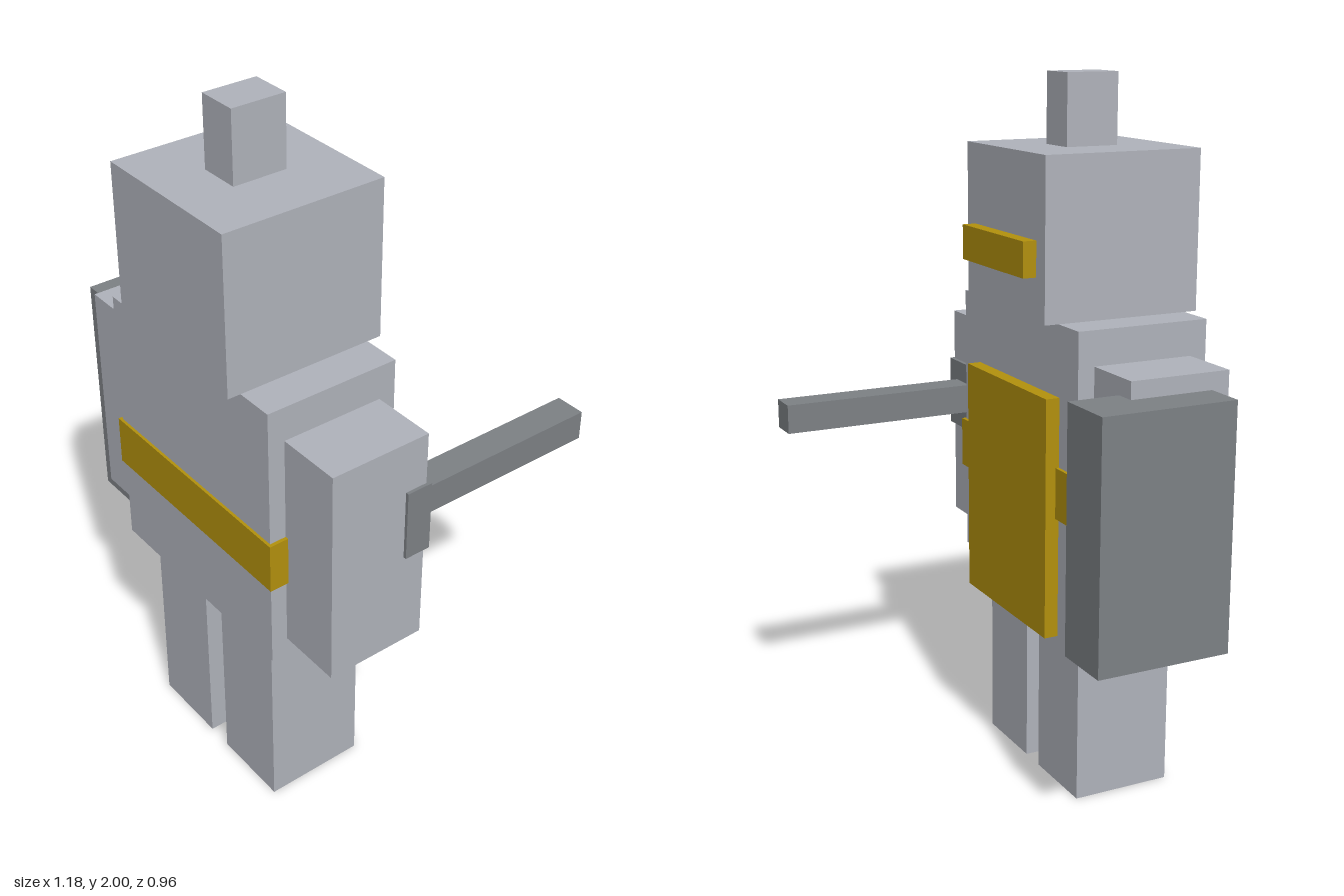
import * as THREE from 'three';

const material = (name, color) => {
  const m = new THREE.MeshStandardMaterial({ color });
  m.name = name;
  return m;
};

export function createModel() {
  const steel = material('light steel', 0xb0b3bb);
  const iron = material('dark iron', 0x7d8185);
  const gold = material('gold', 0xb3910d);

  const model = new THREE.Group();
  model.name = 'blockKnight';

  // Adds a box spanning the given [min, max] range on each axis
  const block = (name, mat, [x0, x1], [y0, y1], [z0, z1]) => {
    const mesh = new THREE.Mesh(new THREE.BoxGeometry(x1 - x0, y1 - y0, z1 - z0), mat);
    mesh.position.set((x0 + x1) / 2, (y0 + y1) / 2, (z0 + z1) / 2);
    mesh.name = name;
    model.add(mesh);
  };

  // Legs and arms, mirrored about the body's centre line
  const cx = 0.052;
  for (const [side, s] of [['left', 1], ['right', -1]]) {
    const span = (a, b) => [cx + s * a, cx + s * b].sort((p, q) => p - q);
    block(side + 'Leg', steel, span(0.038, 0.272), [0, 0.588], [0.105, 0.397]);
    block(side + 'Arm', steel, span(0.335, 0.527), [0.64, 1.27], [0.103, 0.395]);
  }

  // Body, head and plume
  block('torso', steel, [-0.29, 0.393], [0.588, 1.366], [0.055, 0.443]);
  block('head', steel, [-0.181, 0.285], [1.366, 1.805], [0.014, 0.48]);
  block('plume', steel, [-0.006, 0.11], [1.805, 2], [0.17, 0.325]);

  // Gold trim; the face looks towards -z
  block('visorTrim', gold, [-0.132, 0.237], [1.485, 1.582], [-0.025, 0.03]);
  block('tabard', gold, [-0.19, 0.295], [0.494, 1.17], [0.015, 0.055]);
  block('belt', gold, [-0.299, 0.403], [0.835, 0.978], [0.045, 0.451]);

  // Shield on the right arm, sword in the left hand
  block('shield', iron, [-0.591, -0.417], [0.54, 1.222], [-0.045, 0.344]);
  block('swordGuard', iron, [0.405, 0.588], [0.92, 1.122], [0.092, 0.168]);
  block('swordBlade', iron, [0.453, 0.539], [0.98, 1.064], [-0.482, 0.092]);

  return model;
}
